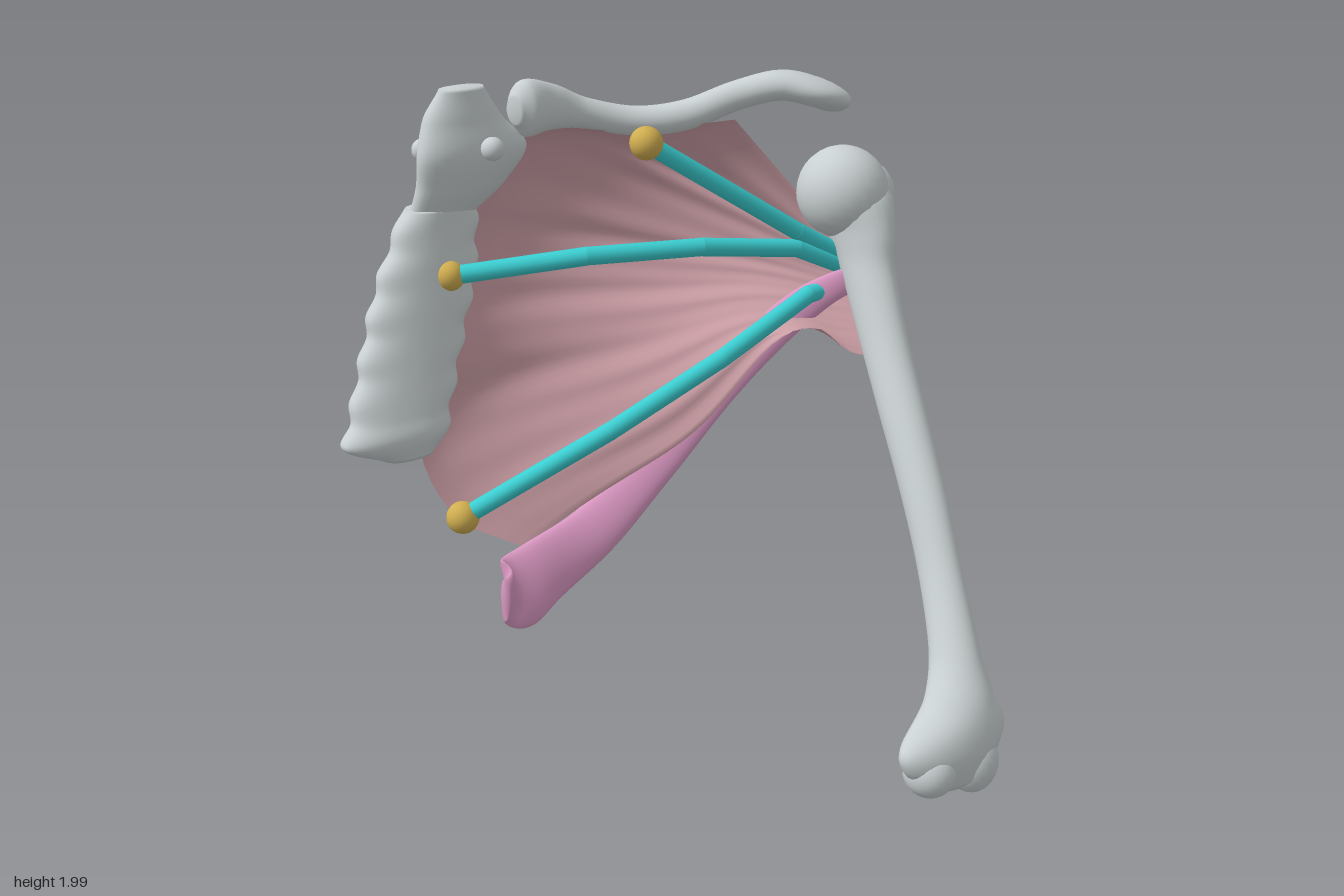
import * as THREE from 'three';

const V = (x, y, z) => new THREE.Vector3(x, y, z);
const mat = (name, color, side = THREE.FrontSide) => {
  const m = new THREE.MeshStandardMaterial({ color, side });
  m.name = name;
  return m;
};

// Joins closed rings of points into a smooth skin, turned outwards.
function skin(rings, capped = true) {
  const n = rings[0].length, pts = rings.flat(), faces = [];
  for (let i = 0; i < rings.length - 1; i++) {
    for (let j = 0; j < n; j++) {
      const a = i * n + j, b = i * n + (j + 1) % n;
      faces.push([a, b, a + n], [b, b + n, a + n]);
    }
  }
  if (capped) {
    [0, rings.length - 1].forEach((r, end) => {
      const c = V(0, 0, 0);
      rings[r].forEach(p => c.addScaledVector(p, 1 / n));
      const k = pts.push(c) - 1;
      for (let j = 0; j < n; j++) {
        const a = r * n + j, b = r * n + (j + 1) % n;
        faces.push(end ? [a, b, k] : [b, a, k]);
      }
    });
  }
  let volume = 0;
  const cross = V(0, 0, 0);
  for (const [a, b, c] of faces) volume += pts[a].dot(cross.crossVectors(pts[b], pts[c]));
  if (volume < 0) faces.forEach(f => f.reverse());
  const g = new THREE.BufferGeometry().setFromPoints(pts);
  g.setIndex(faces.flat());
  g.computeVertexNormals();
  return g;
}

// Lofts ellipses [x, y, z, halfA, halfB] along a smooth path; power < 1 makes them boxier.
function loft(rows, frame, steps = 60, power = 1, sides = 28) {
  const path = new THREE.CatmullRomCurve3(rows.map(r => V(r[0], r[1], r[2])));
  const size = new THREE.CatmullRomCurve3(rows.map(r => V(r[3], r[4], 0)), false, 'catmullrom', 0.4);
  const round = c => Math.sign(c) * Math.abs(c) ** power;
  const rings = [];
  for (let i = 0; i <= steps; i++) {
    const t = i / steps, p = path.getPoint(t), s = size.getPoint(t);
    const [u, w] = frame(path.getTangent(t));
    rings.push(Array.from({ length: sides }, (_, j) => {
      const q = j / sides * Math.PI * 2;
      return p.clone().addScaledVector(u, round(Math.cos(q)) * s.x).addScaledVector(w, round(Math.sin(q)) * s.y);
    }));
  }
  return skin(rings);
}
const level = (x, z) => {
  const u = V(x, 0, z).normalize(), w = V(-z, 0, x).normalize();
  return () => [u, w];
};
const follow = ref => t => {
  const u = ref.clone().cross(t).normalize();
  return [u, t.clone().cross(u)];
};

export function createModel() {
  const root = new THREE.Group();
  const bone = mat('bone grey', 0xc9d0d1), flesh = mat('muscle rose', 0xcb9ea5, THREE.DoubleSide);
  const strip = mat('strip pink', 0xda98c2, THREE.DoubleSide), cyan = mat('line cyan', 0x3bcdd0);
  const gold = mat('origin gold', 0xd0ae50), green = mat('insertion green', 0x7fca91);
  const add = (name, geometry, material, parent = root) => {
    const m = new THREE.Mesh(geometry, material);
    m.name = name;
    parent.add(m);
    return m;
  };
  const ball = (name, [x, y, z], r, material, parent, scale = [1, 1, 1]) => {
    const m = add(name, new THREE.SphereGeometry(r, 24, 16), material, parent);
    m.position.set(x, y, z);
    m.scale.set(...scale);
    return m;
  };
  const group = name => {
    const g = new THREE.Group();
    g.name = name;
    root.add(g);
    return g;
  };

  // Upper arm bone: level slices down the shaft, then head and condyles
  const arm = group('upperArmBone');
  add('shaft', loft([
    [0.335, 1.65, -0.45, 0.1, 0.1], [0.35, 1.58, -0.44, 0.115, 0.135], [0.37, 1.5, -0.415, 0.095, 0.14],
    [0.405, 1.4, -0.36, 0.075, 0.11], [0.48, 1.2, -0.25, 0.068, 0.095], [0.565, 1.0, -0.125, 0.066, 0.09],
    [0.65, 0.8, 0, 0.062, 0.085], [0.725, 0.6, 0.12, 0.06, 0.08], [0.795, 0.4, 0.26, 0.075, 0.08],
    [0.82, 0.3, 0.345, 0.115, 0.08], [0.815, 0.22, 0.42, 0.19, 0.07], [0.815, 0.16, 0.435, 0.18, 0.07],
    [0.825, 0.08, 0.425, 0.12, 0.055], [0.83, 0.05, 0.42, 0.07, 0.03],
  ], level(0.68, -0.73), 90), bone, arm);
  ball('head', [0.315, 1.6, -0.425], 0.145, bone, arm);
  ball('greaterTubercle', [0.385, 1.57, -0.5], 0.1, bone, arm, [0.85, 1.1, 1]);
  ball('innerCondyle', [0.76, 0.13, 0.495], 0.08, bone, arm);
  ball('outerCondyle', [0.87, 0.105, 0.365], 0.085, bone, arm, [0.95, 1.23, 0.95]);

  // Collar bone: an S-curve with flared ends
  add('collarBone', loft([
    [-0.59, 1.91, 0.05, 0.03, 0.04], [-0.57, 1.91, 0.01, 0.06, 0.085], [-0.52, 1.9, -0.07, 0.05, 0.07],
    [-0.44, 1.87, -0.15, 0.045, 0.047], [-0.3, 1.835, -0.23, 0.045, 0.045], [-0.15, 1.85, -0.28, 0.045, 0.047],
    [0, 1.91, -0.315, 0.045, 0.045], [0.13, 1.94, -0.35, 0.06, 0.046], [0.22, 1.918, -0.39, 0.085, 0.046],
    [0.265, 1.89, -0.435, 0.08, 0.042], [0.285, 1.865, -0.475, 0.04, 0.025],
  ], follow(V(0, 1, 0))), bone);

  // Breast bone: upper plate and a long lower plate with scalloped edges
  const breast = group('breastBone');
  const across = level(0.63, -0.77);
  add('upperPlate', loft([
    [-0.72, 1.99, 0.13, 0.07, 0.035], [-0.725, 1.9, 0.125, 0.125, 0.06], [-0.7, 1.8, 0.115, 0.18, 0.065],
    [-0.735, 1.7, 0.125, 0.15, 0.06], [-0.795, 1.61, 0.145, 0.11, 0.05],
  ], across, 40, 0.9), bone, breast);
  const plate = [];
  for (let i = 0; i <= 11; i++) {
    const t = i / 11, wide = 0.115 + 0.05 * Math.sin(Math.min(1, t * 2.2) * Math.PI / 2);
    plate.push([-0.8 - 0.05 * Math.sin(t * 1.4), 1.64 - 0.62 * t, 0.15 + 0.31 * t ** 1.2, wide + (i % 2 ? 0.01 : -0.008), 0.06]);
  }
  plate.push([-0.83, 0.95, 0.43, 0.08, 0.05]);
  add('lowerPlate', loft(plate, across, 90, 0.85), bone, breast);
  [[-0.86, 1.79, 0.1], [-0.62, 1.82, 0.16], [0.4, 1.615, -0.58]].forEach(p => ball('boneMarker', p, 0.035, bone));

  // Fan muscle: fibres from a curved origin to the arm, bulging backwards
  const origin = new THREE.CatmullRomCurve3([
    V(0, 1.84, -0.29), V(-0.3, 1.81, -0.2), V(-0.58, 1.82, -0.04), V(-0.72, 1.6, 0.06), V(-0.76, 1.4, 0.15),
    V(-0.77, 1.2, 0.26), V(-0.82, 0.95, 0.36), V(-0.71, 0.74, 0.38), V(-0.52, 0.61, 0.29),
  ]);
  const insertion = new THREE.CatmullRomCurve3([V(0.33, 1.42, -0.43), V(0.38, 1.28, -0.38), V(0.44, 1.12, -0.28)]);
  const back = V(-0.46, 0, -0.89), U = 36, N = 72, rings = [];
  for (let i = 0; i <= U; i++) {
    const u = i / U, ring = [], arch = Math.sin(Math.PI * u ** 0.75), thick = 0.003 + 0.035 * arch;
    const twist = 0.2 * Math.exp(-(((u - 0.77) / 0.19) ** 2)) * Math.min(1, (1 - u) * 8);
    for (let k = 0; k < 2 * N + 2; k++) {
      const outer = k <= N, v = (outer ? k : 2 * N + 1 - k) / N;
      const p = origin.getPoint(v).lerp(insertion.getPoint(v), u);
      const fold = 0.004 * Math.sin(v * 46 + 2 * u) + 0.003 * Math.sin(v * 83 - 3 * u);
      const bulge = (0.03 + 0.07 * v + 0.175 * Math.sin(Math.PI * v) + fold) * arch;
      p.addScaledVector(back, bulge - (outer ? 0 : thick * Math.sqrt(Math.sin(Math.PI * Math.min(0.98, Math.max(0.02, v))))));
      p.y += twist * v ** 3;
      ring.push(p);
    }
    rings.push(ring);
  }
  add('fanMuscle', skin(rings, false), flesh);

  // Narrow muscle strip under the fan
  add('muscleStrip', loft([
    [-0.54, 0.51, 0.45, 0.07, 0.015], [-0.525, 0.51, 0.41, 0.115, 0.025], [-0.48, 0.535, 0.31, 0.105, 0.035],
    [-0.36, 0.61, 0.14, 0.085, 0.03], [-0.2, 0.78, -0.03, 0.065, 0.025], [-0.03, 1.0, -0.17, 0.06, 0.02],
    [0.1, 1.15, -0.25, 0.06, 0.02], [0.22, 1.26, -0.3, 0.055, 0.02], [0.31, 1.32, -0.32, 0.045, 0.018],
    [0.39, 1.35, -0.36, 0.04, 0.015],
  ], follow(V(0, 0, 1)), 50), strip);

  // Lines of pull with their end markers
  const lines = [
    [[-0.2, 1.825, 0.01], [0.2, 1.5, -0.29], [0.3, 1.42, -0.38], [0.375, 1.405, -0.54]],
    [[-0.75, 1.445, 0.22], [-0.36, 1.5, 0.11], [-0.05, 1.5, -0.06], [0.2, 1.45, -0.28], [0.31, 1.38, -0.38], [0.38, 1.385, -0.515]],
    [[-0.69, 0.735, 0.375], [-0.26, 1.0, 0.23], [0.03, 1.176, 0.01], [0.24, 1.305, -0.27], [0.4, 1.3, -0.535]],
  ];
  lines.forEach((pts, n) => {
    const g = group('pullLine' + (n + 1));
    for (let i = 0; i < pts.length - 1; i++) {
      const a = V(...pts[i]), b = V(...pts[i + 1]), d = b.clone().sub(a);
      const rod = add('rod', new THREE.CylinderGeometry(0.028, 0.028, d.length(), 16), cyan, g);
      rod.position.copy(a).lerp(b, 0.5);
      rod.quaternion.setFromUnitVectors(V(0, 1, 0), d.normalize());
      if (i) ball('joint', pts[i], 0.028, cyan, g);
    }
    ball('originMarker', pts[0], n === 1 ? 0.045 : 0.05, gold, g);
    ball('insertionMarker', pts[pts.length - 1], 0.05, green, g);
  });
  return root;
}
